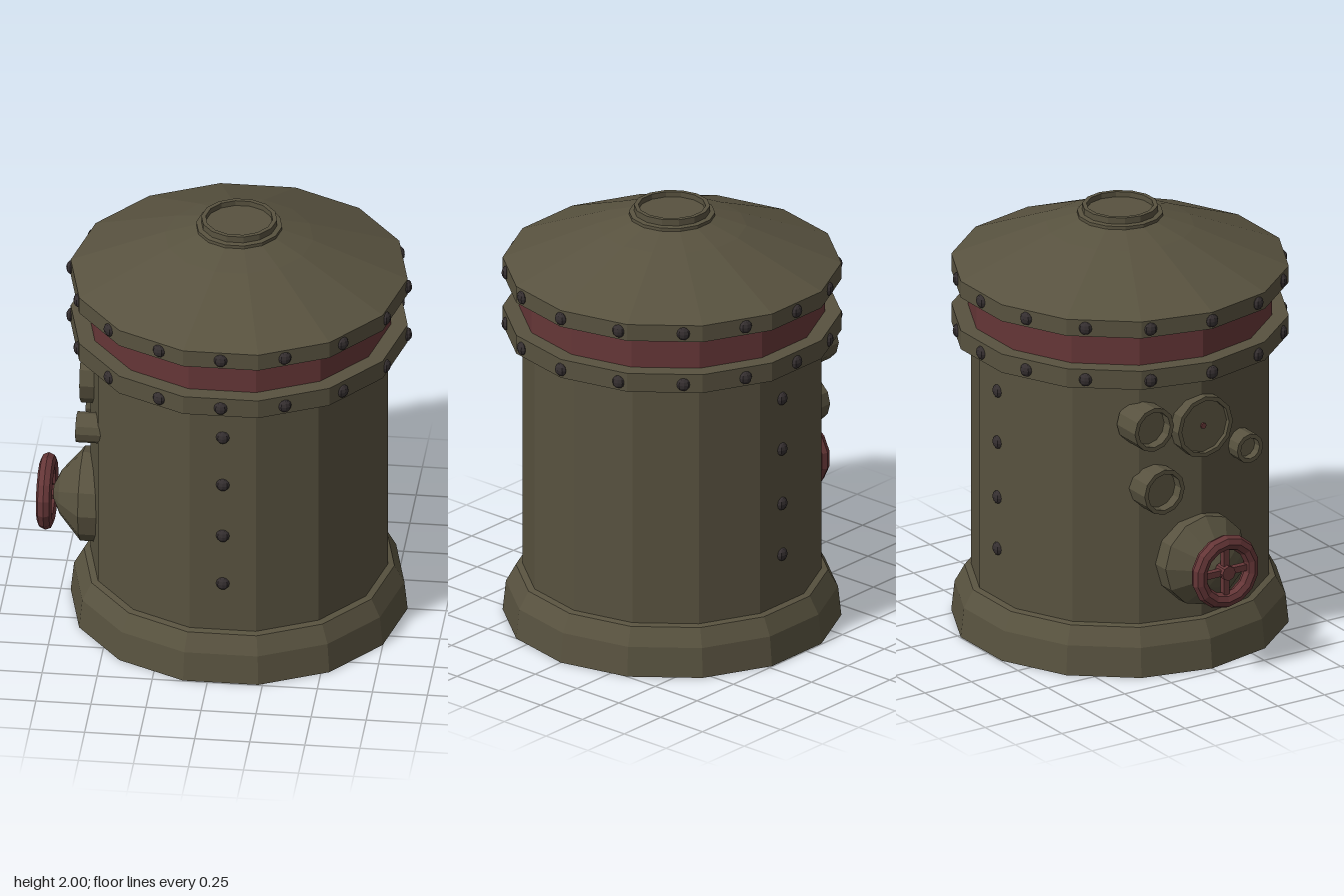
import * as THREE from 'three';

const SIDES = 14, AXIS = 0.06;
const mat = (name, color) => {
  const m = new THREE.MeshStandardMaterial({ color, flatShading: true, side: THREE.DoubleSide });
  m.name = name;
  return m;
};
const olive = mat('olive metal', 0x58523f);
const red = mat('dull red', 0x653637);
const dark = mat('dark iron', 0x352f30);

function add(parent, name, geo, material) {
  const mesh = new THREE.Mesh(geo, material);
  mesh.name = name;
  parent.add(mesh);
  return mesh;
}

// Turned part from [radius, height] pairs
function turned(parent, name, points, material = olive, sides = SIDES) {
  const profile = points.map(([r, y]) => new THREE.Vector2(r, y));
  return add(parent, name, new THREE.LatheGeometry(profile, sides, Math.PI / 2), material);
}

// Distance from the axis to a many-sided wall at a given angle
function wallRadius(r, angle) {
  const step = (2 * Math.PI) / SIDES;
  const a = ((angle % step) + step) % step;
  return (r * Math.cos(step / 2)) / Math.cos(a - step / 2);
}

const rivetGeo = new THREE.SphereGeometry(0.031, 8, 6).scale(1, 1, 0.66);
function rivet(parent, wall, angle, y) {
  const r = wallRadius(wall, angle);
  const m = add(parent, 'rivet', rivetGeo, dark);
  m.position.set(r * Math.cos(angle), y, r * Math.sin(angle));
  m.rotation.y = Math.PI / 2 - angle;
}

// Group whose local +y points out of the right side of the tank
function sideMount(parent, name, y, z) {
  const g = new THREE.Group();
  g.name = name;
  g.position.set(-AXIS, y, z);
  g.rotation.z = Math.PI / 2;
  parent.add(g);
  return g;
}

export function createModel() {
  const model = new THREE.Group();
  model.name = 'boilerTank';
  const tank = new THREE.Group();
  tank.name = 'tank';
  tank.position.x = AXIS;
  model.add(tank);

  // Shell, open underneath
  turned(tank, 'base', [[0.765, 0], [0.75, 0.14], [0.705, 0.222], [0.675, 0.228]]);
  turned(tank, 'body', [[0.675, 0.22], [0.675, 1.41]]);
  turned(tank, 'lowerFlange', [[0.67, 1.4], [0.765, 1.4], [0.765, 1.49], [0.68, 1.49]]);
  turned(tank, 'redBand', [[0.69, 1.49], [0.69, 1.65]], red);
  turned(tank, 'upperFlange', [[0.68, 1.65], [0.765, 1.65], [0.765, 1.73]]);
  turned(tank, 'roof', [[0.765, 1.73], [0.337, 1.905], [0.17, 1.96]]);
  turned(tank, 'roofCollar', [[0.195, 1.935], [0.195, 1.967], [0.172, 1.97], [0.172, 2],
    [0.152, 2], [0.152, 1.975], [0, 1.975]]);

  // Rivets around both flanges and down the front and back
  for (let i = 0; i < 16; i++) {
    for (const y of [1.44, 1.69]) rivet(tank, 0.765, (i * Math.PI) / 8, y);
  }
  for (const y of [0.47, 0.72, 0.987, 1.235]) {
    for (const s of [1, -1]) rivet(tank, 0.675, (s * Math.PI) / 2, y);
  }

  // Round gauges and pipe stubs: [name, y, z, radius, recess]
  const cups = [
    ['upperPipe', 1.2, -0.275, 0.105, 0.05],
    ['gauge', 1.155, 0, 0.147, 0.022],
    ['smallPipe', 0.998, 0.24, 0.07, 0.04],
    ['lowerPipe', 0.885, -0.22, 0.108, 0.05],
  ];
  for (const [name, y, z, r, recess] of cups) {
    const g = sideMount(model, name, y, z);
    turned(g, name + 'Cup', [[r, 0.44], [r, 0.59], [r - 0.02, 0.59],
      [r - 0.02, 0.59 - recess], [0, 0.59 - recess]], olive, 12);
    if (name === 'gauge') {
      const pin = add(g, 'gaugePin', new THREE.CylinderGeometry(0.014, 0.014, 0.008, 8), red);
      pin.position.y = 0.572;
    }
  }

  // Conical valve housing with hand wheel
  const valve = sideMount(model, 'valve', 0.508, 0);
  turned(valve, 'valveHousing', [[0.215, 0.4], [0.215, 0.59], [0.1, 0.69], [0.035, 0.72], [0, 0.72]], olive, 12);
  const wheel = new THREE.Group();
  wheel.name = 'handWheel';
  wheel.position.y = 0.752;
  valve.add(wheel);
  add(wheel, 'wheelRim', new THREE.TorusGeometry(0.14, 0.036, 8, 14).rotateX(Math.PI / 2), red);
  add(wheel, 'wheelHub', new THREE.CylinderGeometry(0.035, 0.035, 0.068, 8), red);
  for (let i = 0; i < 2; i++) {
    const spoke = add(wheel, 'wheelSpoke', new THREE.BoxGeometry(0.26, 0.03, 0.03), red);
    spoke.rotation.y = (i * Math.PI) / 2;
  }
  return model;
}
